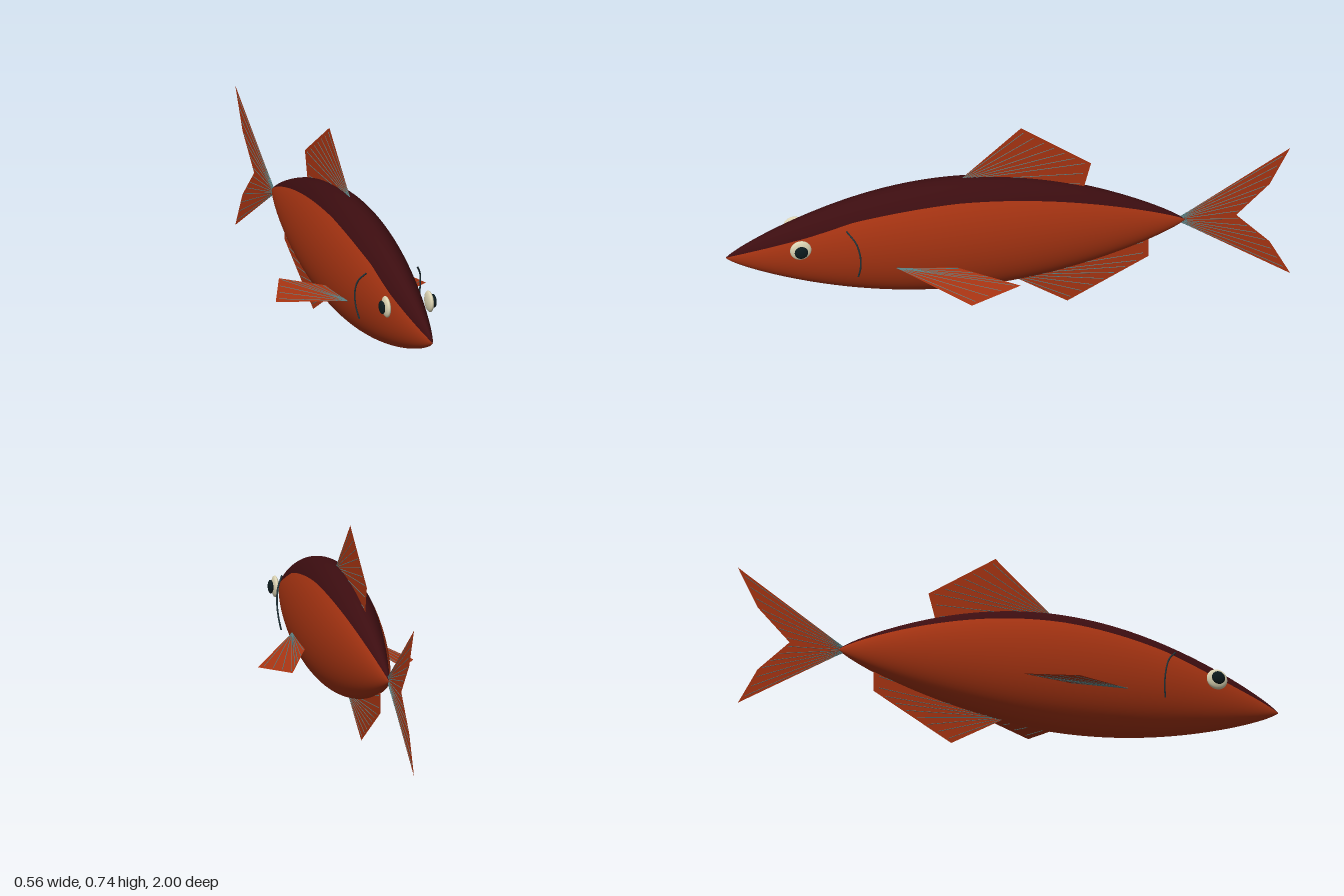
import * as THREE from 'three';

const V = (x, y, z) => new THREE.Vector3(x, y, z);

function mat(name, color, side = THREE.FrontSide) {
  const m = new THREE.MeshStandardMaterial({ color, side });
  m.name = name;
  return m;
}

// Spindle body: elliptical rings along z, with the dark back as its own columns
function bodyGeometry() {
  const rows = 96, backCols = 24, cols = 72;
  const knots = [[0, 0.45], [0.17, 0.57], [0.27, 0.69], [0.5, 0.74], [1.01, 0.75]];
  const backEdge = t => {
    const i = knots.findIndex(k => k[0] > t);
    const [a, b] = [knots[i - 1], knots[i]];
    return Math.acos(THREE.MathUtils.mapLinear(t, a[0], b[0], a[1], b[1]));
  };
  const pos = [], back = [], belly = [];
  for (let r = 0; r <= rows; r++) {
    // rings crowd towards both ends
    const t = 0.5 - 0.5 * Math.cos(Math.PI * r / rows);
    const s = Math.sin(Math.PI * t);
    const h = Math.max(0.222 * Math.pow(Math.max(s, 0), 0.8), 0.002);
    const edge = backEdge(t);
    for (let c = 0; c < cols; c++) {
      const a = c <= backCols
        ? -edge + 2 * edge * c / backCols
        : edge + (2 * Math.PI - 2 * edge) * (c - backCols) / (cols - backCols);
      pos.push(0.504 * h * Math.sin(a), 0.3 + 0.029 * s + h * Math.cos(a), 1 - 1.625 * t);
    }
  }
  for (let r = 0; r < rows; r++) for (let c = 0; c < cols; c++) {
    const a = r * cols + c, b = r * cols + (c + 1) % cols;
    (c < backCols ? back : belly).push(a, b, a + cols, b, b + cols, a + cols);
  }
  const g = new THREE.BufferGeometry();
  g.setAttribute('position', new THREE.Float32BufferAttribute(pos, 3));
  g.setIndex([...back, ...belly]);
  g.addGroup(0, back.length, 0);
  g.addGroup(back.length, belly.length, 1);
  g.computeVertexNormals();
  return g;
}

// Flat fin: a fan from its root to the rim, with thin rays along it
function makeFin(name, root, rim, rayCount, finMat, rayMat) {
  const fin = new THREE.Group();
  fin.name = name;
  const pts = [];
  for (let i = 0; i < rim.length - 1; i++) pts.push(root, rim[i], rim[i + 1]);
  const g = new THREE.BufferGeometry().setFromPoints(pts);
  g.computeVertexNormals();
  const web = new THREE.Mesh(g, finMat);
  web.name = name + 'Web';
  fin.add(web);

  const path = new THREE.CurvePath();
  for (let i = 0; i < rim.length - 1; i++) path.add(new THREE.LineCurve3(rim[i], rim[i + 1]));
  for (let i = 0; i < rayCount; i++) {
    const end = root.clone().lerp(path.getPointAt((i + 0.5) / rayCount), 0.96);
    const ray = new THREE.Mesh(
      new THREE.TubeGeometry(new THREE.LineCurve3(root, end), 1, 0.0014, 5), rayMat);
    ray.name = name + 'Ray';
    fin.add(ray);
  }
  return fin;
}

function ellipsoid(name, center, rx, r, material) {
  const m = new THREE.Mesh(new THREE.SphereGeometry(1, 28, 20), material);
  m.name = name;
  m.position.copy(center);
  m.scale.set(rx, r, r);
  return m;
}

export function createModel() {
  const model = new THREE.Group();
  model.name = 'fish';
  const scales = mat('rustScales', 0xa83412);
  const backMat = mat('darkBack', 0x3c0d10);
  const finMat = mat('rustFin', 0xa83412, THREE.DoubleSide);
  const rayMat = mat('finRay', 0x5f8486);
  const gillMat = mat('gillLine', 0x22343a);
  const eyeMat = mat('creamEye', 0xddd5b4);
  const pupilMat = mat('darkPupil', 0x0c1a1d);

  const body = new THREE.Mesh(bodyGeometry(), [backMat, scales]);
  body.name = 'body';
  model.add(body);

  // Fins on the centre line
  model.add(makeFin('dorsalFin', V(0, 0.54, 0.175),
    [V(0, 0.737, -0.045), V(0, 0.566, -0.293), V(0, 0.46, -0.265)], 9, finMat, rayMat));
  model.add(makeFin('analFin', V(0, 0.132, 0),
    [V(0, 0.002, -0.209), V(0, 0.16, -0.497), V(0, 0.245, -0.497)], 9, finMat, rayMat));
  model.add(makeFin('tailFin', V(0, 0.302, -0.59),
    [V(0, 0.56, -0.998), V(0, 0.417, -0.925), V(0, 0.3, -0.807),
      V(0, 0.178, -0.925), V(0, 0.038, -0.998)], 14, finMat, rayMat));

  // Paired parts
  for (const [side, s] of [['left', 1], ['right', -1]]) {
    model.add(makeFin(side + 'PectoralFin', V(s * 0.1, 0.263, 0.41),
      [V(s * 0.28, 0.198, 0.172), V(s * 0.2, 0.212, 0.013 * -1), V(s * 0.1, 0.25, 0.21)],
      8, finMat, rayMat));

    model.add(ellipsoid(side + 'Eye', V(s * 0.08, 0.357, 0.747), 0.012, 0.038, eyeMat));
    model.add(ellipsoid(side + 'Pupil', V(s * 0.096, 0.357, 0.747), 0.009, 0.024, pupilMat));

    const gillCurve = new THREE.CatmullRomCurve3([
      V(s * 0.094, 0.43, 0.588), V(s * 0.116, 0.39, 0.557), V(s * 0.122, 0.34, 0.543),
      V(s * 0.116, 0.285, 0.541), V(s * 0.106, 0.245, 0.547)]);
    const gill = new THREE.Mesh(new THREE.TubeGeometry(gillCurve, 24, 0.003, 8), gillMat);
    gill.name = side + 'Gill';
    model.add(gill);
  }
  return model;
}
